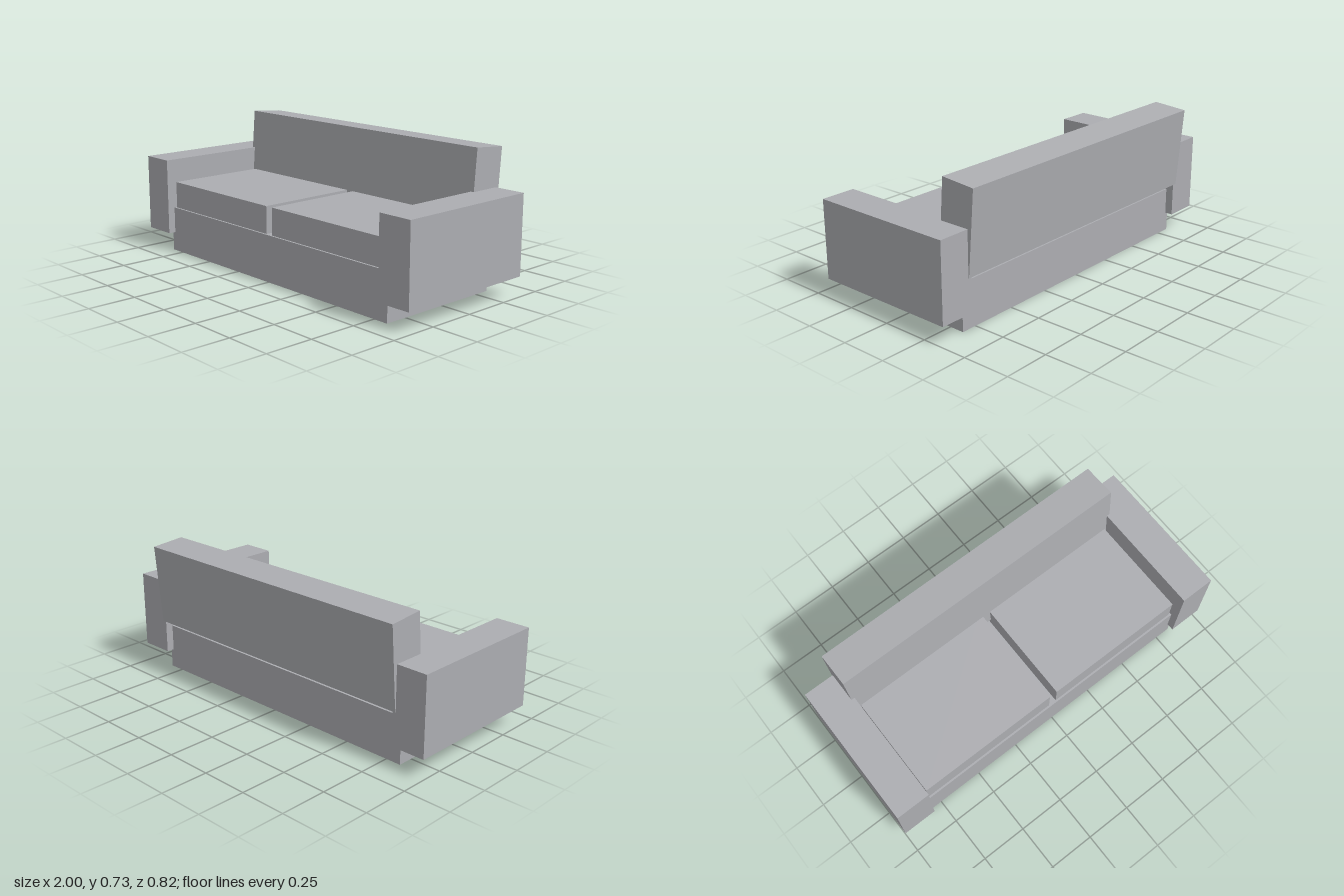
import * as THREE from 'three';

export function createModel() {
  const model = new THREE.Group();
  model.name = 'sofa';

  const fabric = new THREE.MeshStandardMaterial({ color: 0xacadb1 });
  fabric.name = 'grey fabric';

  // Box given by its extents along each axis
  function addBox(name, [x0, x1], [y0, y1], [z0, z1]) {
    const mesh = new THREE.Mesh(new THREE.BoxGeometry(x1 - x0, y1 - y0, z1 - z0), fabric);
    mesh.position.set((x0 + x1) / 2, (y0 + y1) / 2, (z0 + z1) / 2);
    mesh.name = name;
    model.add(mesh);
    return mesh;
  }

  // Plinth
  addBox('base', [-0.833, 0.833], [0, 0.246], [-0.33, 0.37]);

  // Mirrored arms and seat cushions
  for (const [side, s] of [['left', 1], ['right', -1]]) {
    const span = (a, b) => (s > 0 ? [a, b] : [-b, -a]);
    addBox(side + 'Arm', span(0.815, 1), [0.104, 0.516], [-0.372, 0.41]);
    addBox(side + 'SeatCushion', span(0.022, 0.804), [0.246, 0.39], [-0.23, 0.36]);
  }

  // Backrest, leaning backwards
  const back = addBox('backrest', [-0.833, 0.833], [0.2885, 0.7215], [-0.393, -0.207]);
  back.rotation.x = -0.079;

  return model;
}
